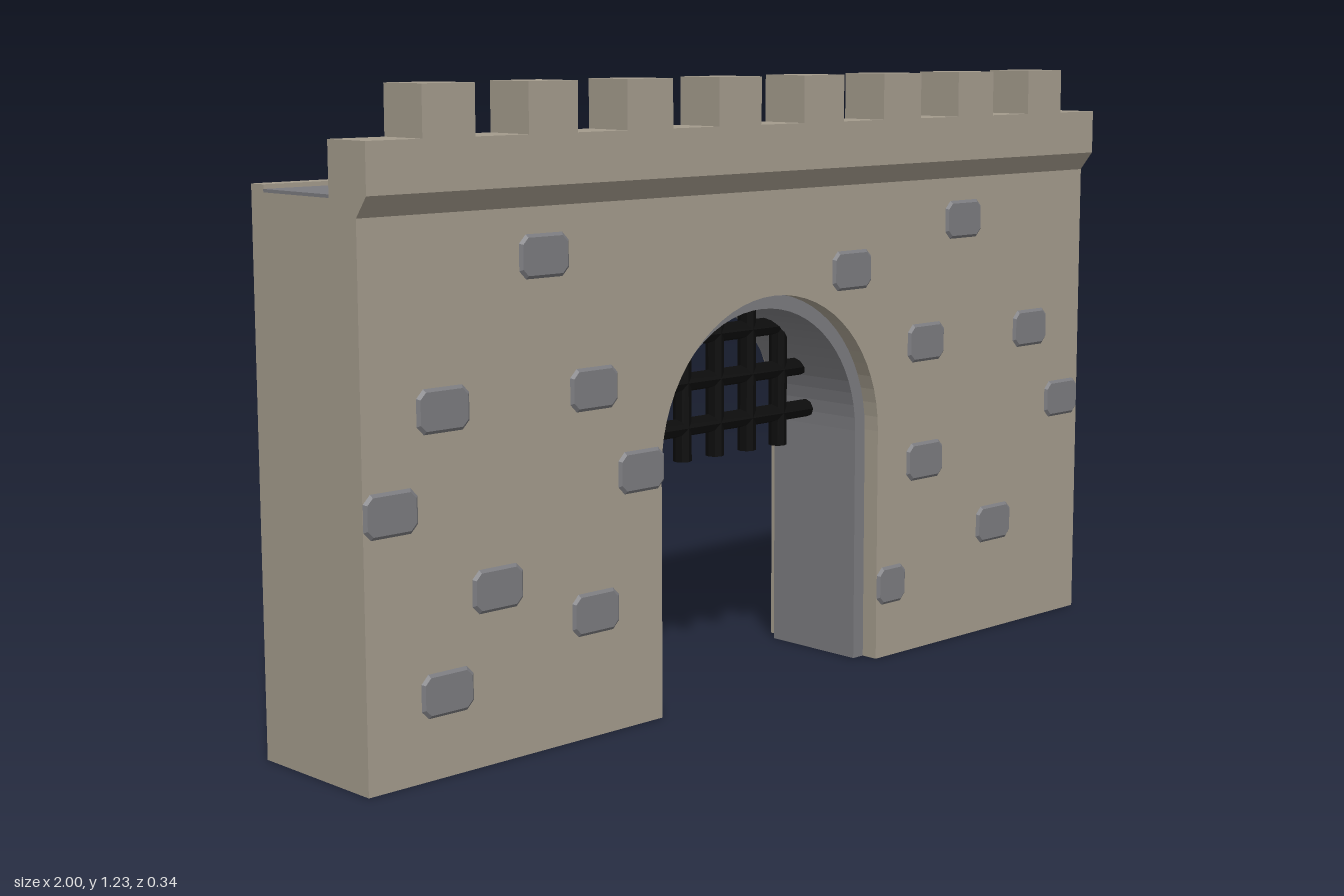
import * as THREE from 'three';

const stone = new THREE.MeshStandardMaterial({ color: 0xa39b8c });
stone.name = 'sandy stone';
const slate = new THREE.MeshStandardMaterial({ color: 0x7b7b7f });
slate.name = 'grey stone';
const iron = new THREE.MeshStandardMaterial({ color: 0x0c0c0c });
iron.name = 'black iron';

const FRONT = 0.145, BACK = -0.165, TOP = 1.04; // wall faces
const CX = 0.01, SPRING = 0.49, R_OUT = 0.31, R_IN = 0.28; // archway

function add(parent, name, geometry, material, x = 0, y = 0, z = 0) {
  const mesh = new THREE.Mesh(geometry, material);
  mesh.name = name;
  mesh.position.set(x, y, z);
  parent.add(mesh);
  return mesh;
}

function extrude(shape, depth) {
  return new THREE.ExtrudeGeometry(shape, { depth, bevelEnabled: false, curveSegments: 16 });
}

// Upright-sided arch line from the left foot to the right foot
function archOver(shape, r) {
  shape.lineTo(CX - r, SPRING);
  shape.absarc(CX, SPRING, r, Math.PI, 0, true);
  shape.lineTo(CX + r, 0);
}

// Shallow brick with clipped corners and sloping edges
function brickGeometry(w, h) {
  const b = 0.006, c = 0.012, x = w / 2 - b, y = h / 2 - b;
  const s = new THREE.Shape();
  s.moveTo(-x + c, -y);
  s.lineTo(x - c, -y);
  s.lineTo(x, -y + c);
  s.lineTo(x, y - c);
  s.lineTo(x - c, y);
  s.lineTo(-x + c, y);
  s.lineTo(-x, y - c);
  s.lineTo(-x, -y + c);
  s.closePath();
  return new THREE.ExtrudeGeometry(s, {
    depth: 0.002, bevelEnabled: true, bevelSize: b, bevelThickness: 0.005, bevelSegments: 1,
  });
}

export function createModel() {
  const model = new THREE.Group();
  model.name = 'castleGate';

  // Wall with the arched opening
  const wall = new THREE.Shape();
  wall.moveTo(-1, 0);
  wall.lineTo(CX - R_OUT, 0);
  archOver(wall, R_OUT);
  wall.lineTo(1, 0);
  wall.lineTo(1, TOP);
  wall.lineTo(-1, TOP);
  wall.closePath();
  add(model, 'wall', extrude(wall, FRONT - BACK), stone, 0, 0, BACK);

  // Recessed lining of the arch
  const lining = new THREE.Shape();
  lining.moveTo(CX - R_OUT - 0.002, 0);
  archOver(lining, R_OUT + 0.002);
  lining.lineTo(CX + R_IN, 0);
  lining.lineTo(CX + R_IN, SPRING);
  lining.absarc(CX, SPRING, R_IN, 0, Math.PI, false);
  lining.lineTo(CX - R_IN, 0);
  lining.closePath();
  add(model, 'archLining', extrude(lining, 0.235), slate, 0, 0, -0.127);

  // Overhanging parapet: cross-section (z, y) swept along x
  const section = new THREE.Shape([
    [0.144, 1.008], [0.175, 1.048], [0.175, 1.14], [0.068, 1.14], [0.068, 1.03], [0.144, 1.03],
  ].map(([z, y]) => new THREE.Vector2(z, y)));
  const parapet = extrude(section, 2);
  parapet.rotateY(-Math.PI / 2);
  add(model, 'parapet', parapet, stone, 1, 0, 0);

  // Merlons
  const merlons = new THREE.Group();
  merlons.name = 'merlons';
  model.add(merlons);
  const merlon = new THREE.BoxGeometry(0.115, 0.095, 0.107);
  for (let i = 0; i < 8; i++) {
    add(merlons, 'merlon', merlon, stone, -0.823 + i * 0.2352, 1.1855, 0.1215);
  }

  // Walkway and the low kerb behind it
  add(model, 'walkway', new THREE.BoxGeometry(2, 0.006, 0.196), slate, 0, TOP + 0.003, -0.03);
  add(model, 'backKerb', new THREE.BoxGeometry(2, 0.014, 0.038), stone, 0, TOP + 0.007, BACK + 0.019);

  // Raised bricks, placed as [column, row] on the masonry grid
  const COL = 0.1176, ROW = 0.085, ROW0 = 0.155;
  const brick = brickGeometry(0.117, 0.081);
  const frontBricks = [
    [-5, 9], [-7, 6], [-4, 6], [-8, 4], [-3, 4], [-6, 2], [-4, 1], [-7, 0],
    [2, 8], [5, 9], [4, 6], [7, 6], [8, 4], [4, 3], [6, 1],
  ];
  const backBricks = [
    [6, 9], [7, 7], [1, 9], [6, 4], [4, 6], [7, 1], [4, 2], [-3, 8],
    [-6, 9], [-4, 6], [-7, 6], [-6, 4], [-5, 2], [-4, 0], [-7, 1],
  ];
  const bricks = new THREE.Group();
  bricks.name = 'bricks';
  model.add(bricks);
  for (const [c, r] of frontBricks) {
    add(bricks, 'frontBrick', brick, slate, c * COL, ROW0 + r * ROW, FRONT - 0.002);
  }
  for (const [c, r] of backBricks) {
    add(bricks, 'backBrick', brick, slate, c * COL, ROW0 + r * ROW, BACK + 0.002).rotation.y = Math.PI;
  }
  // Brick cut short by the arch
  add(bricks, 'cutBrick', brickGeometry(0.09, 0.081), slate, 0.366, ROW0, FRONT - 0.002);

  // Raised portcullis
  const portcullis = new THREE.Group();
  portcullis.name = 'portcullis';
  model.add(portcullis);
  const BAR = 0.019, Z = -0.03, FOOT = 0.455;
  for (let i = -2; i <= 2; i++) {
    const dx = i * 0.0925;
    const length = SPRING + Math.sqrt(R_IN * R_IN - dx * dx) + 0.01 - FOOT;
    const bar = new THREE.CylinderGeometry(BAR, BAR, length, 8).toNonIndexed();
    bar.computeVertexNormals();
    add(portcullis, 'verticalBar', bar, iron, CX + 0.004 + dx, FOOT + length / 2, Z);
  }
  for (const y of [0.524, 0.616, 0.709]) {
    const dy = y - SPRING;
    const length = 2 * Math.sqrt(R_IN * R_IN - dy * dy) + 0.02;
    const bar = new THREE.CylinderGeometry(BAR, BAR, length, 8).toNonIndexed();
    bar.computeVertexNormals();
    bar.rotateZ(Math.PI / 2);
    add(portcullis, 'crossBar', bar, iron, CX, y, Z);
  }

  return model;
}
